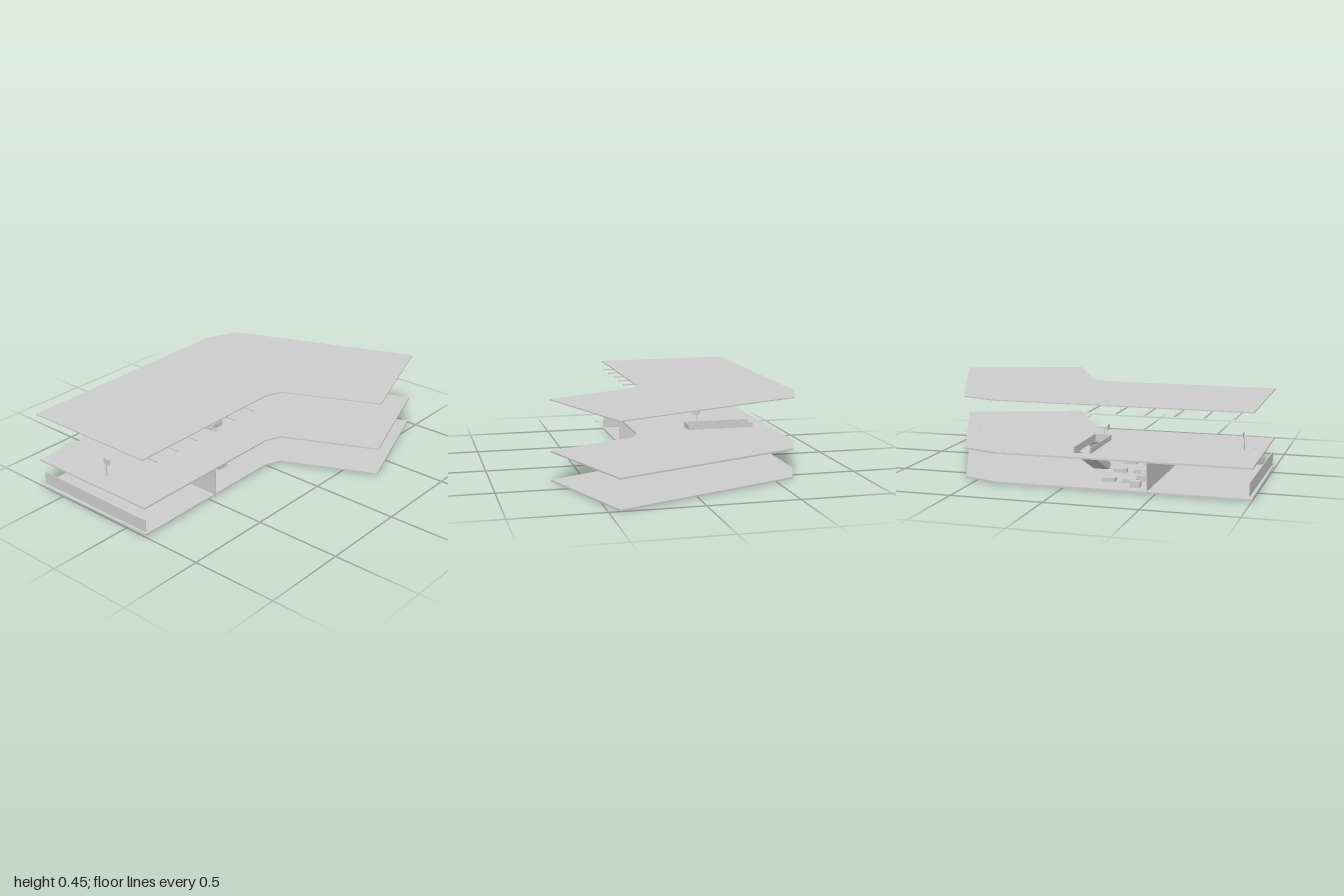
import * as THREE from 'three';

const grey = new THREE.MeshStandardMaterial({ color: 0xcccccc });
grey.name = 'light grey';

// Bent floor plan as [x, z]
const PLAN = [[-1, -0.675], [0.38, -0.685], [0.58, -0.61], [1, 0.44], [0.325, 0.68],
  [0.085, 0.165], [-0.01, 0.128], [-0.99, 0.135]];
// Line of floor fittings, set in from the edge
const INSET = [[-0.93, -0.6], [0.36, -0.615], [0.53, -0.55], [0.9, 0.4], [0.37, 0.6],
  [0.13, 0.1], [0, 0.06], [-0.93, 0.065]];

export function createModel() {
  const model = new THREE.Group();

  const add = (name, geometry, parent = model) => {
    const mesh = new THREE.Mesh(geometry, grey);
    mesh.name = name;
    parent.add(mesh);
    return mesh;
  };
  const group = (name) => {
    const g = new THREE.Group();
    g.name = name;
    model.add(g);
    return g;
  };
  // Box given by its limits on each axis
  const box = (name, x0, x1, y0, y1, z0, z1, parent) => {
    const mesh = add(name, new THREE.BoxGeometry(x1 - x0, y1 - y0, z1 - z0), parent);
    mesh.position.set((x0 + x1) / 2, (y0 + y1) / 2, (z0 + z1) / 2);
    return mesh;
  };
  const toPoints = (list) => list.map(([x, z]) => new THREE.Vector2(x, -z));
  const slab = (name, y0, y1, hole) => {
    const shape = new THREE.Shape(toPoints(PLAN));
    if (hole) shape.holes.push(new THREE.Path(toPoints(hole)));
    const geometry = new THREE.ExtrudeGeometry(shape, { depth: y1 - y0, bevelEnabled: false });
    geometry.rotateX(-Math.PI / 2).translate(0, y0, 0);
    add(name, geometry);
  };
  // Side profile as [z, y], extruded from x0 to x1
  const sideProfile = (name, points, x0, x1, parent) => {
    const shape = new THREE.Shape(points.map(([z, y]) => new THREE.Vector2(-z, y)));
    const geometry = new THREE.ExtrudeGeometry(shape, { depth: x1 - x0, bevelEnabled: false });
    geometry.rotateY(Math.PI / 2).translate(x0, 0, 0);
    add(name, geometry, parent);
  };

  // Slabs, the upper floor with a stair opening
  const sx0 = -0.12, sx1 = -0.03, sz0 = -0.58, sz1 = -0.19;
  slab('groundSlab', 0.003, 0.012);
  slab('upperFloorSlab', 0.163, 0.172, [[sx0, sz0], [sx0, sz1], [sx1, sz1], [sx1, sz0]]);
  slab('roofSlab', 0.449, 0.455);

  // Roof trusses: bottom chord and slanted hangers
  const trusses = group('roofTrusses');
  for (let i = 0; i < 6; i++) {
    const x = -0.9 + i * 0.153;
    box('trussChord', x - 0.005, x + 0.005, 0.408, 0.414, -0.665, 0.145, trusses);
    for (let j = 0; j < 8; j++) {
      const z = 0.015 - j * 0.084;
      sideProfile('trussHanger', [[z, 0.45], [z + 0.004, 0.45], [z - 0.03, 0.413], [z - 0.034, 0.413]],
        x - 0.002, x + 0.002, trusses);
    }
  }

  // Ceiling lights along the angled wing
  const lights = group('ceilingLights');
  for (let i = 0; i < 8; i++) {
    const light = add('ceilingLight', new THREE.CylinderGeometry(0.009, 0.009, 0.004, 12), lights);
    light.position.set(0.74 - i * 0.054, 0.407, 0.505 - i * 0.126);
  }

  // Walls on the ground floor
  box('partitionWall', -0.454, -0.449, 0.012, 0.163, -0.67, 0.14);
  box('endPanel', -0.985, -0.981, 0.02, 0.092, -0.66, 0.13);
  box('wallScreen', -0.449, -0.445, 0.022, 0.08, -0.058, 0.003);
  box('wallScreen', -0.449, -0.445, 0.022, 0.08, -0.505, -0.445);

  // Stair: two stringers, a sloping base and treads
  const stair = group('stair');
  const stringer = [[-0.185, 0.04], [-0.58, 0.2], [-0.58, 0.168], [-0.205, 0.003]];
  sideProfile('stringer', stringer, sx0, sx0 + 0.004, stair);
  sideProfile('stringer', stringer, sx1 - 0.004, sx1, stair);
  sideProfile('stairBase', [[-0.2, 0.008], [-0.58, 0.172], [-0.58, 0.166], [-0.205, 0.002]],
    sx0 + 0.004, sx1 - 0.004, stair);
  for (let i = 0; i < 20; i++) {
    const z = -0.205 - i * 0.0187, y = 0.012 + i * 0.0081;
    box('tread', sx0 + 0.004, sx1 - 0.004, y, y + 0.002, z - 0.018, z, stair);
  }

  // Balustrade around three sides of the opening
  const rail = group('balustrade');
  box('balustradeSide', sx0 - 0.004, sx0, 0.172, 0.202, sz0, sz1, rail);
  box('balustradeSide', sx1, sx1 + 0.004, 0.172, 0.202, sz0, sz1, rail);
  box('balustradeEnd', sx0 - 0.004, sx1 + 0.004, 0.172, 0.202, sz1, sz1 + 0.004, rail);

  // Display boards on posts, upper floor
  for (const [x, offset] of [[-0.885, 0.005], [-0.105, -0.022]]) {
    const sign = group('displayStand');
    box('post', x - 0.003, x + 0.003, 0.172, 0.26, -0.263, -0.257, sign);
    box('board', x + offset - 0.002, x + offset + 0.002, 0.243, 0.272, -0.283, -0.236, sign);
    box('arm', Math.min(x, x + offset), Math.max(x, x + offset), 0.254, 0.258, -0.262, -0.258, sign);
  }

  // Desks and benches on the ground floor
  const furniture = group('furniture');
  for (const z of [-0.38, -0.45, -0.59]) {
    box('desk', -0.4, -0.345, 0.012, 0.045, z - 0.02, z + 0.02, furniture);
  }
  for (const z of [-0.05, -0.27, -0.5]) {
    for (const x of [-0.318, -0.202]) {
      box('bench', x - 0.037, x + 0.037, 0.012, 0.033, z - 0.02, z + 0.02, furniture);
    }
  }

  // Small floor fittings following the edge of the upper floor
  const fittings = group('floorFittings');
  const disc = new THREE.CylinderGeometry(0.003, 0.003, 0.001, 8);
  INSET.forEach(([x, z], i) => {
    const [nx, nz] = INSET[(i + 1) % INSET.length];
    const count = Math.max(1, Math.round(Math.hypot(nx - x, nz - z) / 0.065));
    for (let k = 0; k < count; k++) {
      const t = k / count;
      add('floorFitting', disc, fittings).position.set(x + (nx - x) * t, 0.1725, z + (nz - z) * t);
    }
  });

  return model;
}
